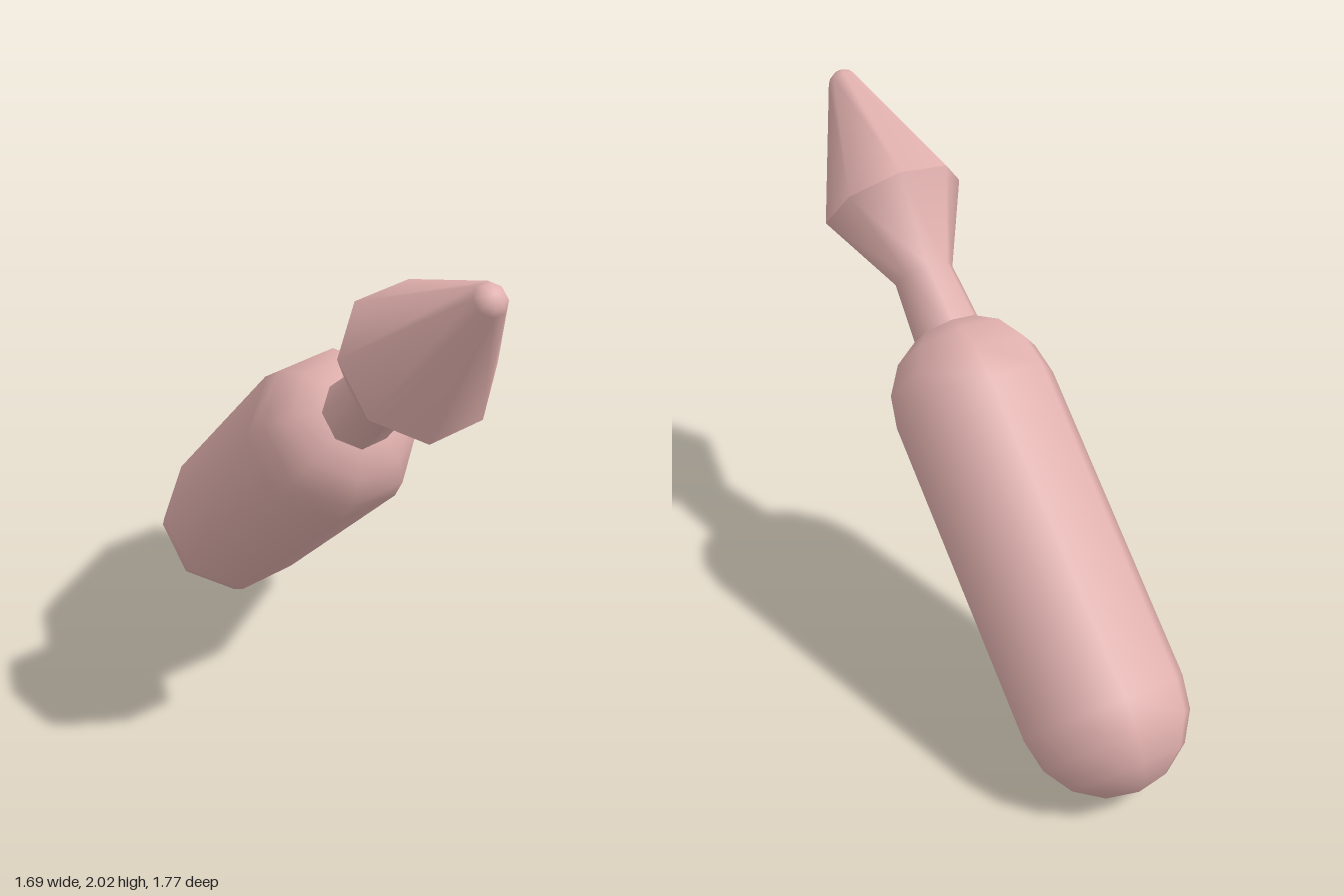
import * as THREE from 'three';

const SIDES = 8;
const PHASE = THREE.MathUtils.degToRad(-12);

// Points on a round end: from latitude a to latitude b (degrees) on a circle centred at height y
function arc(r, y, a, b, steps) {
  return Array.from({ length: steps + 1 }, (_, i) => {
    const t = THREE.MathUtils.degToRad(a + ((b - a) * i) / steps);
    return [Math.max(0, r * Math.cos(t)), y + r * Math.sin(t)];
  });
}

export function createModel() {
  const group = new THREE.Group();
  const tool = new THREE.Group();
  tool.name = 'tiltedTool';
  group.add(tool);
  const material = new THREE.MeshStandardMaterial({ color: 0xe0b0ad });

  // Eight-sided turned part; heights are measured along the tool's axis
  function turned(name, profile) {
    const points = profile.map(([r, y]) => new THREE.Vector2(r, y));
    const geometry = new THREE.LatheGeometry(points, SIDES).rotateY(PHASE);
    const mesh = new THREE.Mesh(geometry, material);
    mesh.name = name;
    tool.add(mesh);
  }

  // Handle: long capsule whose upper dome is centred at height 0
  const R = 0.315;
  turned('handle', [...arc(R, -1.21, -90, 0, 4), ...arc(R, 0, 0, 90, 4)]);

  // Slim neck flaring out to the widest ring of the head
  turned('neck', [[0.137, 0.2], [0.115, 0.515], [0.272, 0.83]]);

  // Long cone with a small rounded tip
  turned('pointedHead', [[0.272, 0.83], ...arc(0.062, 1.333, 24, 90, 3)]);

  // Lean the axis diagonally and set it in place
  const axis = new THREE.Vector3(0.527, 0.649, 0.549).normalize();
  tool.quaternion.setFromUnitVectors(new THREE.Vector3(0, 1, 0), axis);
  tool.position.set(0.075, 1.075, 0.08);

  // Stand on the ground, centred
  group.updateMatrixWorld(true);
  const box = new THREE.Box3().setFromObject(group, true);
  const centre = box.getCenter(new THREE.Vector3());
  tool.position.sub(new THREE.Vector3(centre.x, box.min.y, centre.z));
  return group;
}
